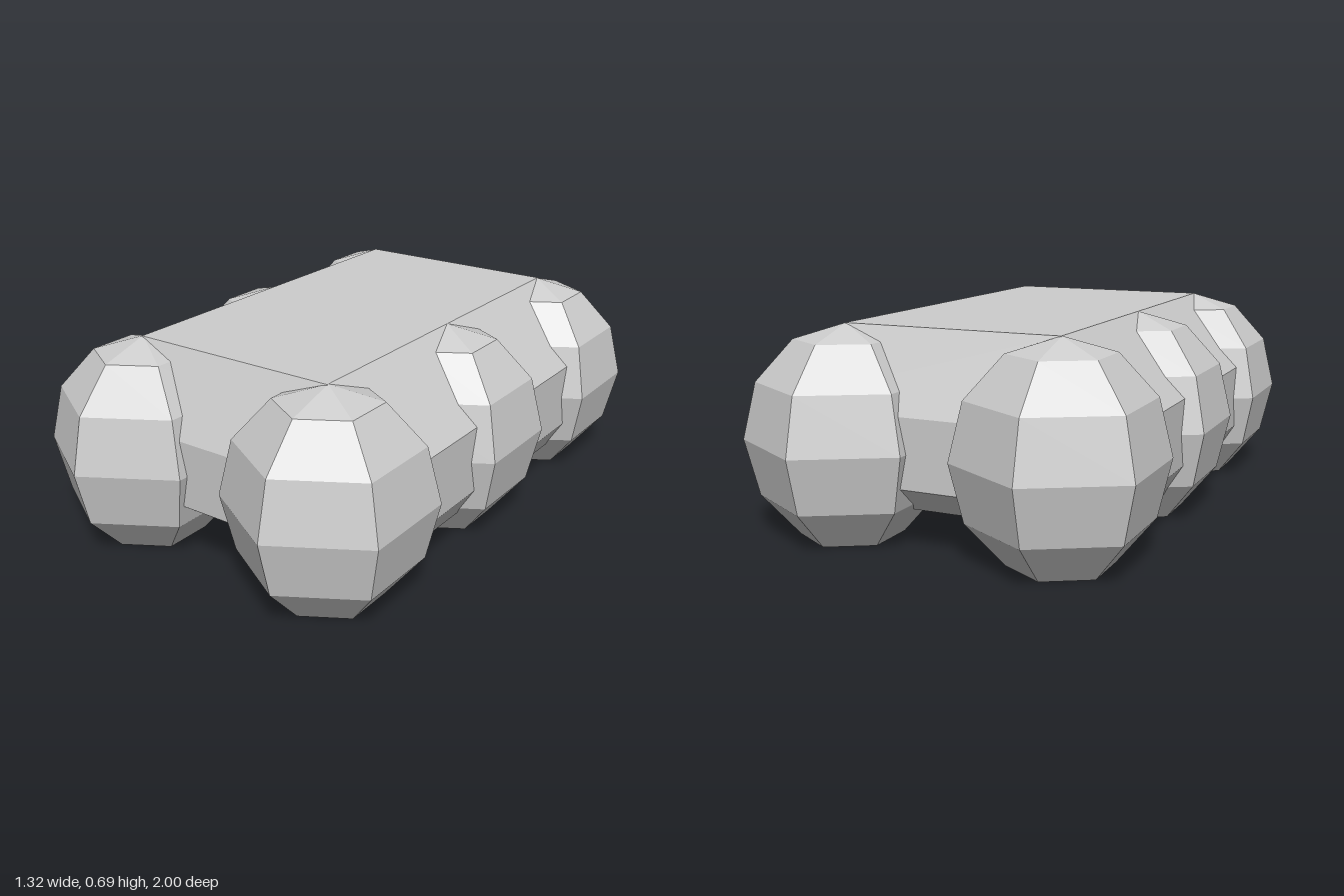
import * as THREE from 'three';

const stone = new THREE.MeshStandardMaterial({ color: 0xcccccc, flatShading: true });
stone.name = 'light grey';

// Closed solid from stacked rectangles: [y, half width, half depth], bottom to top
function stackedRects(levels) {
  const pos = [], index = [];
  for (const [y, w, d] of levels) pos.push(-w, y, d, w, y, d, w, y, -d, -w, y, -d);
  for (let i = 0; i < levels.length - 1; i++) {
    for (let j = 0; j < 4; j++) {
      const a = i * 4 + j, b = i * 4 + (j + 1) % 4;
      index.push(a, b, b + 4, a, b + 4, a + 4);
    }
  }
  const t = (levels.length - 1) * 4;
  index.push(0, 2, 1, 0, 3, 2, t, t + 1, t + 2, t, t + 2, t + 3);
  const geo = new THREE.BufferGeometry();
  geo.setAttribute('position', new THREE.Float32BufferAttribute(pos, 3));
  geo.setIndex(index);
  const flat = geo.toNonIndexed();
  flat.computeVertexNormals();
  return flat;
}

// Six-sided rounded pod with a flat underside
function podGeometry() {
  const radius = 0.335, height = 0.37;
  const profile = [new THREE.Vector2(0, 0)];
  for (let deg = -60; deg <= 90; deg += 30) {
    const a = THREE.MathUtils.degToRad(deg);
    profile.push(new THREE.Vector2(deg === 90 ? 0 : radius * Math.cos(a), 0.32 + height * Math.sin(a)));
  }
  profile[1].y = 0;
  return new THREE.LatheGeometry(profile, 6);
}

export function createModel() {
  const group = new THREE.Group();

  // Chamfered central body
  const body = new THREE.Mesh(stackedRects([
    [0.105, 0.53, 0.66],
    [0.21, 0.595, 0.8],
    [0.435, 0.595, 0.8],
    [0.69, 0.37, 0.67],
  ]), stone);
  body.name = 'body';
  group.add(body);

  // Three pods along each side
  const pod = podGeometry();
  for (const [side, x] of [['left', 0.37], ['right', -0.37]]) {
    for (const [place, z] of [['Front', 0.665], ['Middle', 0], ['Back', -0.665]]) {
      const mesh = new THREE.Mesh(pod, stone);
      mesh.name = `${side}${place}Pod`;
      mesh.position.set(x, 0, z);
      group.add(mesh);
    }
  }
  return group;
}
